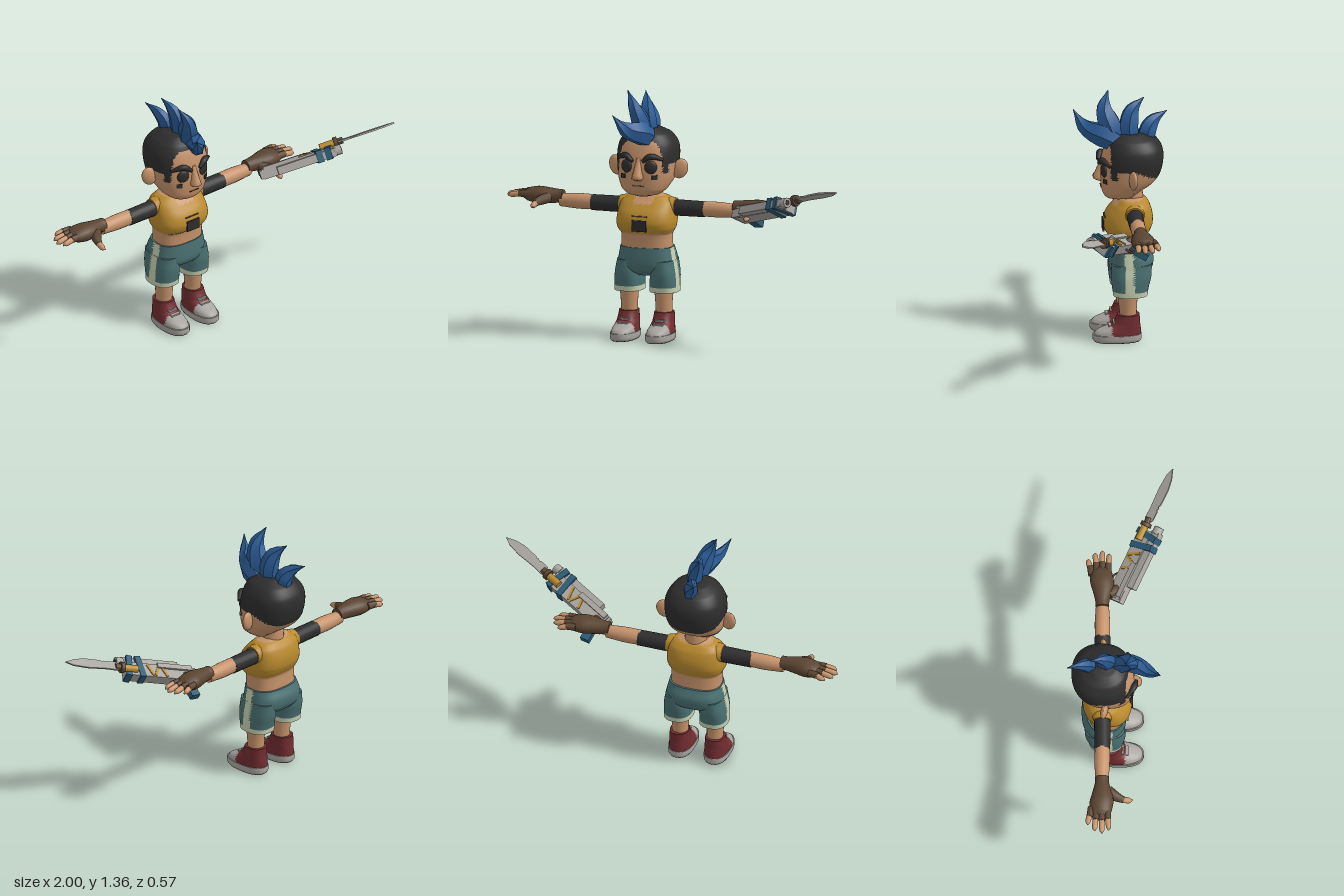
import * as THREE from 'three';
import { toCreasedNormals } from 'three/addons/utils/BufferGeometryUtils.js';

const V = (x, y, z) => new THREE.Vector3(x, y, z);
const mat = (name, color) => new THREE.MeshStandardMaterial({ name, color });

// Skin a list of point rings into a closed smooth surface with flat end caps
function skin(rings) {
  const n = rings[0].length, pos = [], idx = [];
  const push = p => pos.push(p.x, p.y, p.z) / 3 - 1;
  rings.forEach(r => r.forEach(push));
  for (let i = 0; i < rings.length - 1; i++) for (let j = 0; j < n; j++) {
    const k = (j + 1) % n, a = i * n + j, b = i * n + k;
    idx.push(a, a + n, b, b, a + n, b + n);
  }
  [rings[0], rings[rings.length - 1]].forEach((r, end) => {
    const mid = push(r.reduce((s, p) => s.add(p), V(0, 0, 0)).divideScalar(n));
    const first = r.map(push)[0];
    for (let j = 0; j < n; j++) {
      const a = first + j, b = first + (j + 1) % n;
      end ? idx.push(mid, b, a) : idx.push(mid, a, b);
    }
  });
  const g = new THREE.BufferGeometry();
  g.setAttribute('position', new THREE.Float32BufferAttribute(pos, 3));
  g.setIndex(idx);
  g.computeVertexNormals();
  return g;
}

// Rounded body from rows [y, halfWidth, zFront, zBack], smoothed between rows
function loft(rows, seg = 32, steps = 5, power = 2.3) {
  const rings = [], at = i => rows[Math.max(0, Math.min(rows.length - 1, i))];
  const ring = ([y, w, f, b]) => Array.from({ length: seg }, (_, j) => {
    const a = j / seg * Math.PI * 2, c = Math.cos(a), s = Math.sin(a), e = 2 / power;
    return V(w * Math.sign(c) * Math.abs(c) ** e, y, (f + b) / 2 + (f - b) / 2 * Math.sign(s) * Math.abs(s) ** e);
  });
  for (let i = 0; i < rows.length - 1; i++) for (let k = 0; k < steps; k++) {
    const t = k / steps;
    rings.push(ring(rows[i].map((p1, c) => {
      const p0 = at(i - 1)[c], p2 = at(i + 1)[c], p3 = at(i + 2)[c];
      if (c === 0) return p1 + (p2 - p1) * t;
      return p1 + 0.5 * t * (p2 - p0 + t * (2 * p0 - 5 * p1 + 4 * p2 - p3 + t * (3 * (p1 - p2) + p3 - p0)));
    })));
  }
  rings.push(ring(rows[rows.length - 1]));
  return skin(rings);
}

// Tapered tube along a curve; squash narrows it along the ref direction
function horn(points, radii, { seg = 10, steps = 10, squash = 1, ref = V(0, 1, 0) } = {}) {
  const curve = new THREE.CatmullRomCurve3(points.map(p => V(...p)));
  const rad = new THREE.SplineCurve(radii.map((r, i) => new THREE.Vector2(i, r)));
  return skin(Array.from({ length: steps + 1 }, (_, i) => {
    const t = i / steps, c = curve.getPoint(t), T = curve.getTangent(t), r = Math.max(0.001, rad.getPoint(t).y);
    const S = ref.clone().addScaledVector(T, -T.dot(ref)).normalize(), B = S.clone().cross(T);
    return Array.from({ length: seg }, (_, j) => {
      const a = j / seg * Math.PI * 2;
      return c.clone().addScaledVector(S, r * squash * Math.cos(a)).addScaledVector(B, r * Math.sin(a));
    });
  }));
}

// Sort triangles into material groups by a rule on their centre
function paint(g, rule) {
  const p = g.attributes.position, ix = g.index.array, bins = [];
  for (let i = 0; i < ix.length; i += 3) {
    const t = [ix[i], ix[i + 1], ix[i + 2]], c = V(0, 0, 0);
    t.forEach(k => c.add(V(p.getX(k), p.getY(k), p.getZ(k)).divideScalar(3)));
    (bins[rule(c)] ??= []).push(...t);
  }
  let start = 0;
  bins.forEach((b, m) => { g.addGroup(start, b.length, m); start += b.length; });
  g.setIndex(bins.flat());
  return g;
}

function flipped(g) {
  const m = g.clone().scale(-1, 1, 1), ix = m.index.array;
  for (let i = 0; i < ix.length; i += 3) [ix[i], ix[i + 1]] = [ix[i + 1], ix[i]];
  m.computeVertexNormals();
  return m;
}

export function createModel() {
  const root = new THREE.Group(), body = new THREE.Group();
  root.name = 'character';
  body.name = 'body';
  body.position.x = -0.2;
  root.add(body);
  const flesh = mat('skin', 0xc6936b), dark = mat('charcoal', 0x2d2d2e), blue = mat('hairBlue', 0x2b5b94);
  const gold = mat('gold', 0xb98a2e), teal = mat('shortsTeal', 0x4a7072), cream = mat('cream', 0xc6d0b0);
  const red = mat('shoeRed', 0x702c30), grey = mat('lightGrey', 0xa8a49f), brown = mat('gloveBrown', 0x5a4431);
  const tape = mat('tapeBlue', 0x2a5a74);
  const add = (name, g, m, parent = body) => {
    const mesh = new THREE.Mesh(g, m);
    mesh.name = name;
    parent.add(mesh);
    return mesh;
  };
  const pair = (name, g, m) => { add(name + 'Left', g, m); add(name + 'Right', flipped(g), m); };
  const box = (w, h, d, x, y, z, ry = 0) => new THREE.BoxGeometry(w, h, d).rotateY(ry).translate(x, y, z);
  const limb = (rows, y) => loft(rows, 20, 3, 2).rotateZ(-Math.PI / 2).translate(0, y, 0);

  // Head with shaved hair, sideburns and a nape line
  const head = loft([[.78, .04, .03, -.08], [.792, .088, .06, -.1], [.82, .122, .075, -.13], [.87, .147, .082, -.2],
    [.92, .158, .084, -.238], [1, .164, .076, -.255], [1.06, .155, .06, -.248], [1.11, .122, .035, -.212],
    [1.14, .07, -.01, -.15], [1.148, .008, -.07, -.085]], 64, 6);
  add('head', paint(head, c => {
    const low = c.z > 0 ? .91 : c.z > -.1 ? .96 : .96 + (c.z + .1) * .47;
    return c.y > 1.085 || (c.z < .035 && c.y > low) ? 1 : 0;
  }), [flesh, dark]);
  add('nose', loft([[.875, .018, .1, .05], [.887, .03, .122, .05], [.92, .024, .113, .04], [.995, .014, .082, .03]], 14, 3), flesh);
  add('mouth', box(.06, .005, .006, 0, .845, .08), brown);
  pair('ear', new THREE.SphereGeometry(1, 18, 12).scale(.042, .055, .02).rotateZ(-.3).rotateY(.25).translate(.182, .925, -.08), flesh);
  pair('eye', new THREE.SphereGeometry(.036, 18, 12).scale(.95, 1, .4).rotateY(.3).translate(.068, .948, .069), dark);
  pair('eyebrow', horn([[.028, .98, .092], [.07, 1.008, .08], [.128, .988, .04]], [.01, .017, .008]), dark);
  pair('cheekMark', box(.032, .024, .009, .088, .894, .063, .55), dark);
  add('neck', new THREE.CylinderGeometry(.058, .064, .13, 24).translate(0, .79, -.085), flesh);

  // Mohawk of curved spikes
  [
    [[[.04, 1.09, -.02], [.015, 1.13, .07], [-.045, 1.165, .165], [-.095, 1.245, .22]], [.05, .066, .042, .002]],
    [[[.02, 1.08, -.01], [0, 1.18, .03], [-.03, 1.27, .06], [-.075, 1.355, .035]], [.05, .066, .045, .002]],
    [[[.02, 1.08, -.08], [.01, 1.18, -.07], [-.01, 1.26, -.088], [-.04, 1.322, -.155]], [.05, .056, .042, .002]],
    [[[0, 1.08, -.165], [0, 1.15, -.172], [-.02, 1.2, -.205], [-.05, 1.24, -.28]], [.045, .05, .036, .002]],
  ].forEach(([path, r], i) => add('hairSpike' + (i + 1),
    toCreasedNormals(horn(path, r, { seg: 6, squash: .75, ref: V(1, 0, 0) }), .7), blue));

  // Torso: bare waist and cropped top with a neckline
  const torso = loft([[.47, .138, .028, -.168], [.57, .138, .032, -.165], [.585, .146, .05, -.17], [.605, .156, .062, -.182],
    [.64, .161, .069, -.196], [.69, .156, .052, -.196], [.74, .146, .01, -.18], [.77, .115, -.02, -.155], [.785, .07, -.035, -.13]], 48, 4, 2.6);
  add('torso', paint(torso, c => c.y < .583 || (c.y > .735 && Math.abs(c.x) < .055 && c.z > -.06) || c.y > .776 ? 0 : 1), [flesh, gold]);
  add('chestPatch', box(.082, .06, .009, 0, .625, .068), dark);
  add('chestSeam', box(.085, .006, .008, 0, .675, .06), brown);

  // Arms, sleeves and fingerless gloves
  pair('shoulder', limb([[.08, .05, -.035, -.145], [.13, .052, -.035, -.145], [.157, .047, -.042, -.138]], .715), gold);
  pair('armBand', limb([[.15, .044, -.046, -.134], [.32, .043, -.048, -.132]], .71), dark);
  pair('forearm', limb([[.31, .041, -.05, -.13], [.4, .042, -.05, -.132], [.5, .035, -.056, -.126]], .712), flesh);
  pair('glove', limb([[.485, .036, -.055, -.128], [.52, .038, -.053, -.13], [.58, .044, -.035, -.145], [.63, .046, -.03, -.158],
    [.68, .036, -.04, -.155], [.705, .02, -.05, -.145]], .732), brown);
  [[-.148, .755, -.166], [-.12, .79, -.13], [-.092, .802, -.092], [-.062, .785, -.056]].forEach(([z, x, tz], i) => {
    const mx = .67 + (x - .67) * .5, mz = (z + tz) / 2;
    pair('gloveFinger' + i, horn([[.66, .738, z], [mx, .738, mz]], [.02, .018]), brown);
    pair('finger' + i, horn([[mx - .01, .738, mz], [x - .015, .73, tz], [x, .725, tz]], [.016, .014, .004]), flesh);
  });
  pair('gloveThumb', horn([[.56, .725, -.06], [.59, .715, -.015], [.605, .705, .025]], [.03, .026, .018]), brown);
  pair('thumb', horn([[.603, .706, .015], [.605, .697, .055], [.6, .692, .072]], [.017, .015, .004]), flesh);

  // Shorts with cream hem and side stripe
  const stripe = c => c.y < .285 || (c.x > .135 && c.z < -.037 && c.z > -.085) ? 1 : 0;
  add('shortsSeat', paint(loft([[.345, .05, -.01, -.13], [.37, .125, .025, -.172], [.4, .16, .038, -.195], [.45, .155, .038, -.2],
    [.5, .145, .034, -.178]], 64, 4, 2.6), c => stripe(V(Math.abs(c.x), c.y, c.z))), [teal, cream]);
  pair('shortsLeg', paint(loft([[.258, .077, .022, -.162], [.3, .076, .028, -.168], [.36, .072, .034, -.182], [.43, .06, .03, -.185]], 48, 6, 2.5)
    .translate(.1, 0, 0), stripe), [teal, cream]);
  pair('leg', loft([[.12, .044, -.015, -.103], [.2, .046, -.008, -.106], [.3, .054, 0, -.115]], 20, 3, 2).translate(.098, 0, 0), flesh);

  // High-top shoes
  pair('sole', paint(loft([[0, .062, .122, -.122], [.012, .069, .132, -.13], [.042, .069, .132, -.13]], 32, 3, 2.4)
    .translate(.1, 0, 0), c => c.y < .005 ? 1 : 0), [grey, dark]);
  pair('shoe', paint(loft([[.038, .066, .127, -.128], [.06, .064, .11, -.127], [.08, .06, .065, -.125], [.1, .057, .025, -.122],
    [.15, .052, 0, -.12]], 40, 5, 2.3).translate(.1, 0, 0), c => c.z > .03 && c.y < .09 ? 1 : 0), [red, grey]);
  [[.09, .042], [.108, .018]].forEach(([y, z], i) => pair('lace' + i, box(.055, .01, .014, .1, y, z), grey));

  // Bladed gun: x runs to the tip, y toward the grip, z out of the upper side
  const gun = new THREE.Group();
  gun.name = 'bladedGun';
  gun.applyMatrix4(new THREE.Matrix4().makeBasis(V(.866, .25, .433), V(.5, -.433, -.75), V(0, .866, -.5)).setPosition(.52, .755, .08));
  root.add(gun);
  const part = (name, m, ...a) => add(name, box(...a), m, gun);
  const rod = (name, m, r, len, x, y, z) => add(name, new THREE.CylinderGeometry(r, r, len, 14).rotateZ(-Math.PI / 2).translate(x, y, z), m, gun);
  part('gunBody', grey, .4, .085, .056, -.01, .012, 0);
  part('gunBarrelBlock', grey, .33, .05, .044, .035, -.045, -.004);
  part('gunRail', grey, .2, .03, .014, -.1, -.02, .032);
  part('gunStock', grey, .07, .1, .046, -.19, .015, 0);
  rod('muzzle', grey, .027, .04, .21, -.045, 0);
  rod('muzzleHole', dark, .015, .006, .229, -.045, 0);
  const grip = part('gunGrip', tape, .05, .11, .036, 0, 0, 0);
  grip.position.set(-.185, .095, 0);
  grip.rotation.z = .3;
  add('triggerGuard', new THREE.TorusGeometry(.03, .006, 6, 16).translate(-.11, .06, 0), brown, gun);
  [[.1, .12], [.165, -.15]].forEach(([x, a], i) => {
    const band = part('tapeWrap' + i, tape, .034, .136, .066, 0, 0, 0);
    band.position.set(x, -.006, 0);
    band.rotation.z = a;
  });
  [-.035, .005, .045].forEach((x, i) => {
    const mark = part('zigzag' + i, gold, .014, .075, .006, 0, 0, 0);
    mark.position.set(x, .012, .03);
    mark.rotation.z = i % 2 ? -.4 : .4;
  });
  rod('bladeSocket', gold, .02, .09, .17, .02, .036);
  rod('bladeCollar', brown, .03, .022, .215, .018, .036);
  rod('bladeNeck', brown, .018, .04, .235, .018, .036);

  // Knife blade with a notched spine and clipped tip
  const shape = new THREE.Shape([[.23, .0], [.25, -.012], [.3, -.012], [.305, -.006], [.32, -.013], [.326, -.006], [.34, -.014],
    [.43, -.016], [.49, -.005], [.545, .018], [.5, .036], [.42, .043], [.3, .038], [.25, .042], [.23, .034]].map(p => new THREE.Vector2(...p)));
  add('blade', new THREE.ExtrudeGeometry(shape, { depth: .009, bevelEnabled: false }).translate(0, 0, .032), grey, gun);
  return root;
}
